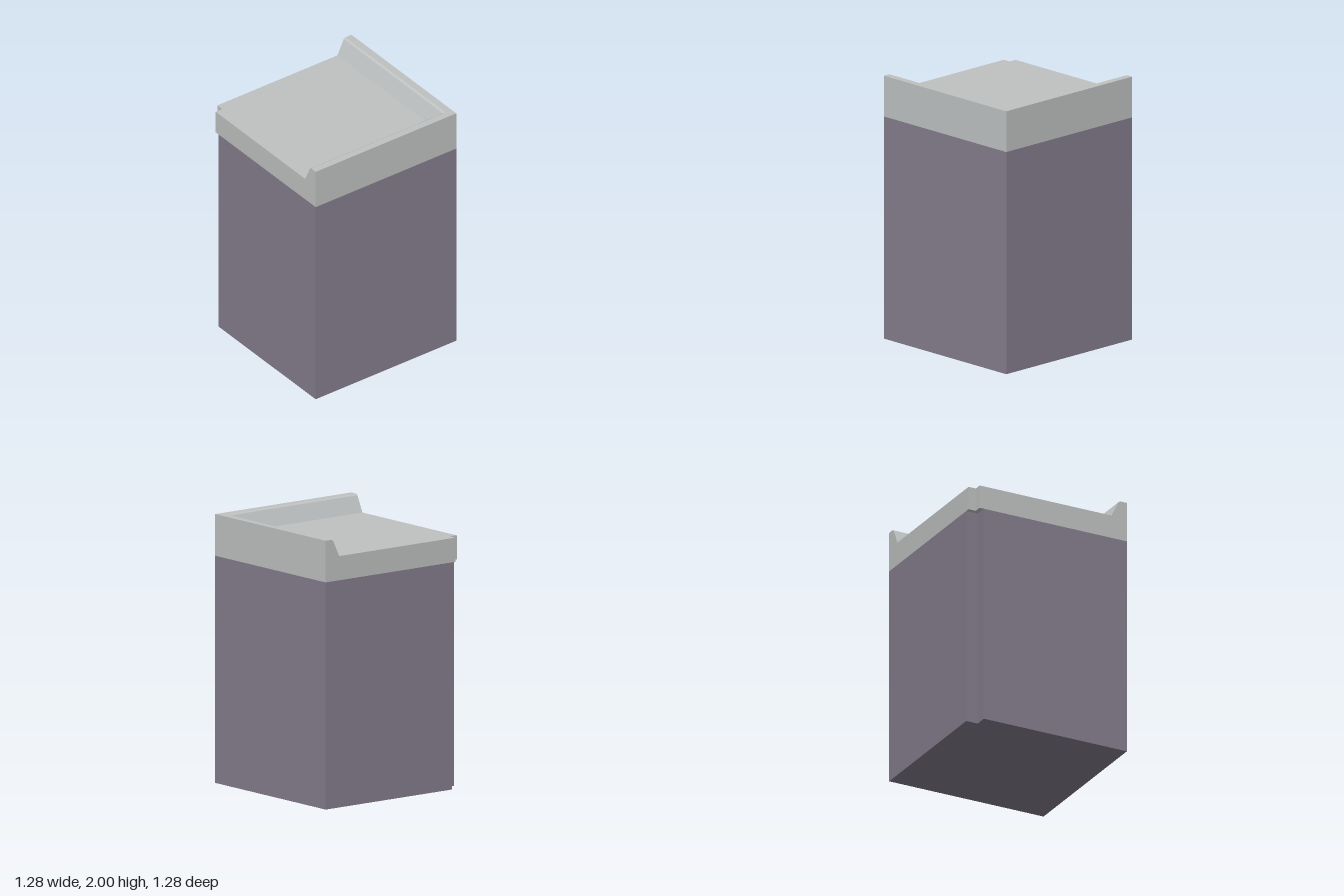
import * as THREE from 'three';

const HALF = 0.64;        // half width of the square plan
const BODY_TOP = 1.69;    // where the cap starts
const ROOF = 1.87;        // flat roof level
const TOP = 2;            // top of the parapet

const wallPaint = new THREE.MeshStandardMaterial({ color: 0x857d8d });
wallPaint.name = 'mauve wall';
const capPaint = new THREE.MeshStandardMaterial({ color: 0xbfc2c2 });
capPaint.name = 'grey cap';

// Square prism with a notch cut from its back corner at -x, -z
function notchedPrism(notch, bottom, top) {
  const inner = HALF - notch;
  const shape = new THREE.Shape([
    [-HALF, -HALF], [HALF, -HALF], [HALF, HALF],
    [-inner, HALF], [-inner, inner], [-HALF, inner],
  ].map(([x, y]) => new THREE.Vector2(x, y)));
  const geo = new THREE.ExtrudeGeometry(shape, { depth: top - bottom, bevelEnabled: false });
  return geo.rotateX(-Math.PI / 2).translate(0, bottom, 0);
}

// Parapet along the +x edge, mitred at the chosen z end (1 or -1)
function parapet(end) {
  const profile = new THREE.Shape([
    [0.513, ROOF], [HALF, ROOF], [HALF, TOP], [0.585, TOP], [0.57, 1.99],
  ].map(([x, y]) => new THREE.Vector2(x, y)));
  const geo = new THREE.ExtrudeGeometry(profile, { depth: 2 * HALF, bevelEnabled: false });
  geo.translate(0, 0, -HALF);
  const p = geo.attributes.position;
  for (let i = 0; i < p.count; i++) {
    if (p.getZ(i) * end > 0) p.setZ(i, end * p.getX(i));
  }
  geo.computeVertexNormals();
  return geo;
}

export function createModel() {
  const model = new THREE.Group();
  model.name = 'cornerBlock';
  const add = (name, geometry, material) => {
    const mesh = new THREE.Mesh(geometry, material);
    mesh.name = name;
    model.add(mesh);
  };

  // Tall body, then a cap that slightly overhangs its notch
  add('body', notchedPrism(0.095, 0, BODY_TOP), wallPaint);
  add('roofSlab', notchedPrism(0.06, BODY_TOP, ROOF), capPaint);

  // Sloped parapets meeting at the front left corner
  add('leftParapet', parapet(1), capPaint);
  add('frontParapet', parapet(-1).rotateY(-Math.PI / 2), capPaint);

  return model;
}
